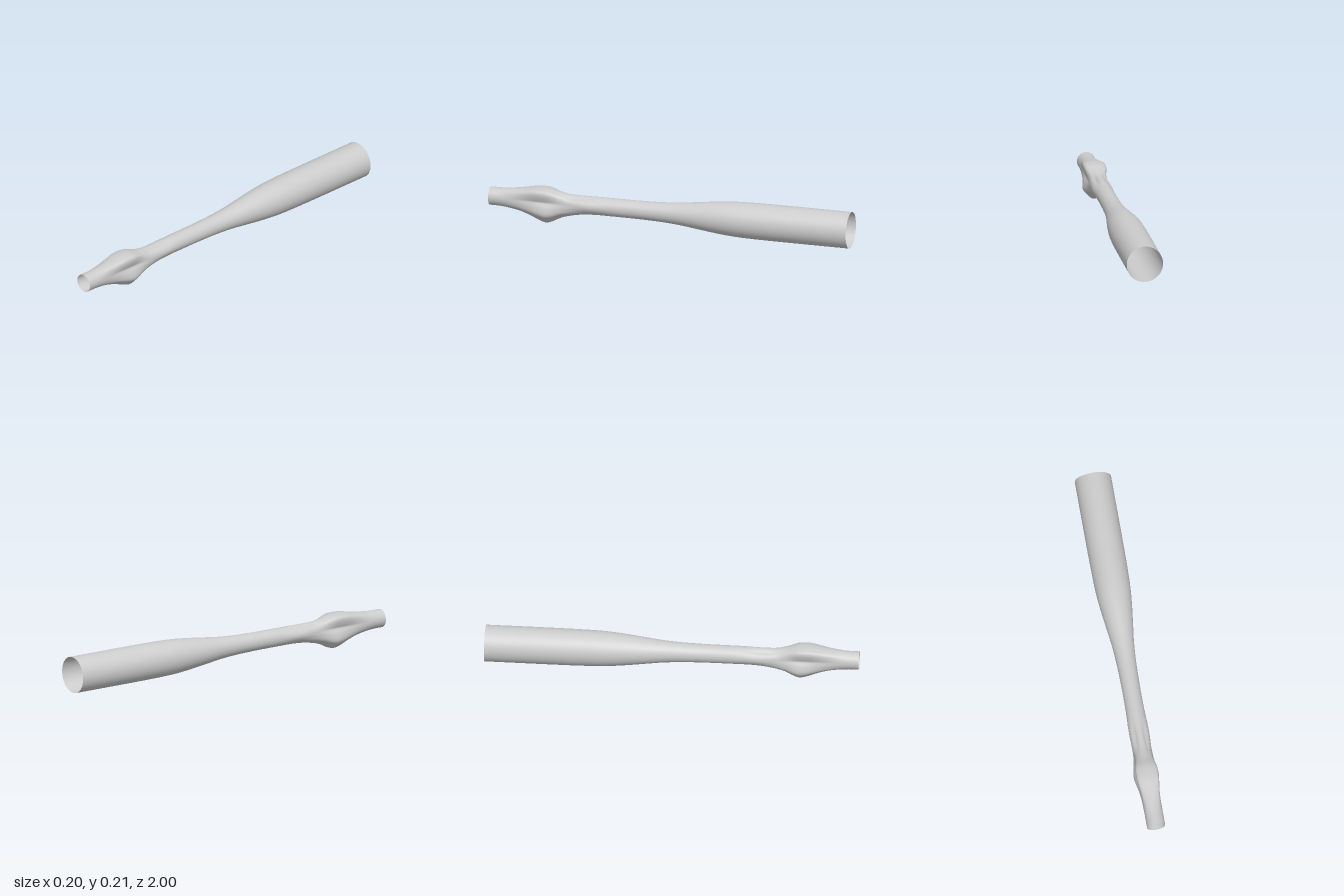
import * as THREE from 'three';

const AXIS_Y = 0.117, SIDES = 72, RINGS = 150;

// Smooth interpolation through [position, value] pairs in ascending order.
function sample(pairs, t) {
  if (t <= pairs[0][0]) return pairs[0][1];
  for (let i = 1; i < pairs.length; i++) {
    const [a, va] = pairs[i - 1], [b, vb] = pairs[i];
    if (t <= b) {
      const k = (t - a) / (b - a);
      const slope = (j) => {
        const p = pairs[Math.max(j - 1, 0)], q = pairs[Math.min(j + 1, pairs.length - 1)];
        return (q[1] - p[1]) / (q[0] - p[0]);
      };
      const h = b - a, k2 = k * k, k3 = k2 * k;
      return va * (2 * k3 - 3 * k2 + 1) + slope(i - 1) * h * (k3 - 2 * k2 + k)
        + vb * (3 * k2 - 2 * k3) + slope(i) * h * (k3 - k2);
    }
  }
  return pairs[pairs.length - 1][1];
}

const bump = (t, centre, width) => Math.exp(-(((t - centre) / width) ** 2));

// Plain tube radius from the wide back to the narrow front
const tube = [[-1, 0.098], [-0.6, 0.098], [-0.45, 0.0965], [-0.35, 0.093], [-0.25, 0.084],
  [-0.15, 0.072], [-0.05, 0.06], [0.05, 0.053], [0.15, 0.05], [0.25, 0.049], [1, 0.049]];

// Strength of the swelling along z, for its upper and lower lobes
const upper = [[0.5, 0], [0.56, 0.04], [0.62, 0.4], [0.67, 0.9], [0.71, 1], [0.75, 0.93],
  [0.8, 0.62], [0.86, 0.28], [0.92, 0.05], [0.96, 0]];
const lower = [[0.4, 0], [0.47, 0.06], [0.55, 0.26], [0.61, 0.54], [0.65, 0.86], [0.685, 1],
  [0.72, 0.88], [0.77, 0.57], [0.83, 0.27], [0.9, 0.07], [0.95, 0]];

// Cross-section of the swelling at its fullest
const outline = [[0.049, 0.12], [0.055, 0.14], [0.06, 0.162], [0.057, 0.179], [0.03, 0.189],
  [0, 0.192], [-0.03, 0.189], [-0.057, 0.179], [-0.06, 0.162], [-0.055, 0.14], [-0.049, 0.12],
  [-0.063, 0.09], [-0.066, 0.05], [-0.045, 0.026], [-0.022, 0.007], [0, 0.002], [0.022, 0.003],
  [0.045, 0.026], [0.066, 0.05], [0.063, 0.09]];
const swell = outline.map(([x, y]) => {
  const a = Math.atan2(y - AXIS_Y, x);
  return [a < 0 ? a + 2 * Math.PI : a, Math.hypot(x, y - AXIS_Y) - 0.049];
});
// Repeat the ends so the section closes smoothly
const first = swell[0], last = swell[swell.length - 1];
swell.unshift([last[0] - 2 * Math.PI, last[1]]);
swell.push([first[0] + 2 * Math.PI, first[1]], [swell[2][0] + 2 * Math.PI, swell[2][1]]);

function radiusAt(angle, z) {
  const side = THREE.MathUtils.smoothstep(Math.sin(angle), -0.15, 0.15);
  const strength = THREE.MathUtils.lerp(sample(lower, z), sample(upper, z), side);
  // Shallow hollows beside the top ridge, slight flare at the flanks
  const fromTop = Math.abs(angle - Math.PI / 2);
  const hollow = 0.006 * bump(z, 0.5, 0.09) * bump(fromTop, 0.62, 0.28);
  const flare = 0.005 * bump(z, 0.45, 0.09) * Math.cos(angle) ** 8;
  return sample(tube, z) + sample(swell, angle) * strength - hollow + flare;
}

function shaftGeometry() {
  const positions = [], index = [];
  for (let i = 0; i <= RINGS; i++) {
    const z = -1 + 2 * (i / RINGS);
    for (let j = 0; j < SIDES; j++) {
      const a = (j / SIDES) * 2 * Math.PI, r = radiusAt(a, z);
      positions.push(r * Math.cos(a), AXIS_Y + r * Math.sin(a), z);
    }
  }
  for (let i = 0; i < RINGS; i++) {
    for (let j = 0; j < SIDES; j++) {
      const n = (j + 1) % SIDES;
      const a = i * SIDES + j, b = i * SIDES + n, c = a + SIDES, d = b + SIDES;
      index.push(a, b, d, a, d, c);
    }
  }
  const geometry = new THREE.BufferGeometry();
  geometry.setAttribute('position', new THREE.Float32BufferAttribute(positions, 3));
  geometry.setIndex(index);
  geometry.computeVertexNormals();
  return geometry;
}

export function createModel() {
  const model = new THREE.Group();
  model.name = 'hollowShaft';
  // Open-ended tube with a lobed swelling near the front
  const shaft = new THREE.Mesh(shaftGeometry(),
    new THREE.MeshStandardMaterial({ color: 0xcccccc, side: THREE.DoubleSide }));
  shaft.name = 'shaft';
  model.add(shaft);
  return model;
}
